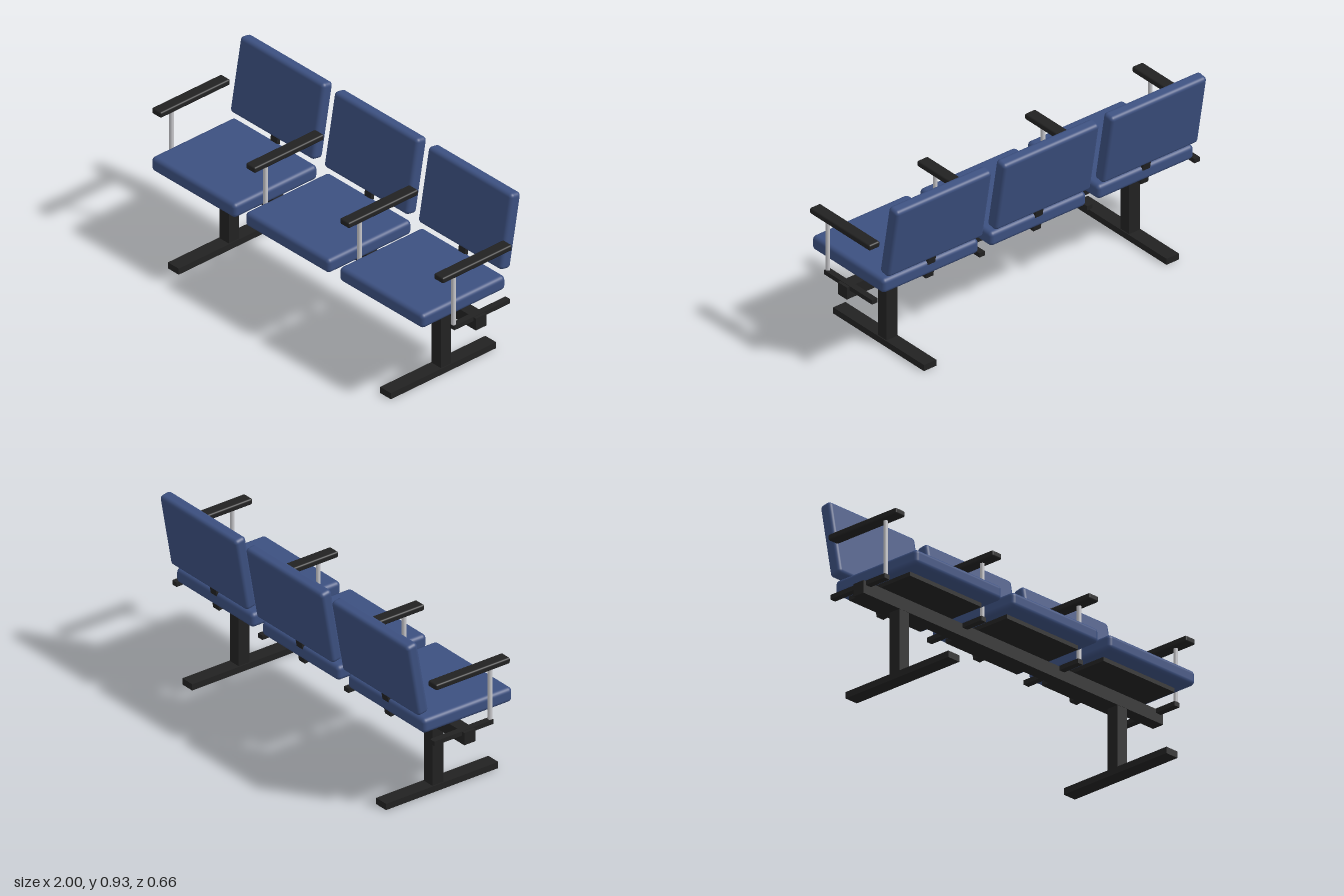
import * as THREE from 'three';
import { RoundedBoxGeometry } from 'three/addons/geometries/RoundedBoxGeometry.js';

const material = (name, color) => {
  const m = new THREE.MeshStandardMaterial({ color });
  m.name = name;
  return m;
};

export function createModel() {
  const blue = material('blue upholstery', 0x3c5080);
  const black = material('black metal', 0x222222);
  const steel = material('bright steel', 0xc8c8cc);

  const model = new THREE.Group();
  model.name = 'threeSeatBench';

  const add = (parent, name, geometry, mat, x, y, z) => {
    const mesh = new THREE.Mesh(geometry, mat);
    mesh.name = name;
    mesh.position.set(x, y, z);
    parent.add(mesh);
    return mesh;
  };
  const box = (w, h, d) => new THREE.BoxGeometry(w, h, d);
  const group = (name, x) => {
    const g = new THREE.Group();
    g.name = name;
    g.position.x = x;
    model.add(g);
    return g;
  };

  // Long beam carrying all seats
  add(model, 'beam', box(2, 0.065, 0.065), black, 0, 0.383, -0.017);

  // Two T-shaped legs
  for (const x of [-0.728, 0.728]) {
    const leg = group('leg', x);
    add(leg, 'foot', box(0.074, 0.033, 0.657), black, 0, 0.0165, 0.004);
    add(leg, 'column', box(0.064, 0.318, 0.064), black, 0, 0.191, -0.017);
  }

  // Three seats with cushions, plates and tilted backs
  const tilt = -THREE.MathUtils.degToRad(10);
  for (const x of [-0.645, 0, 0.645]) {
    const seat = group('seat', x);
    add(seat, 'seatCushion', new RoundedBoxGeometry(0.577, 0.076, 0.523, 4, 0.022), blue, 0, 0.476, 0.027);
    add(seat, 'seatPlate', box(0.475, 0.022, 0.392), black, 0, 0.428, 0.005);
    add(seat, 'backCushion', new RoundedBoxGeometry(0.577, 0.393, 0.065, 4, 0.02), blue, 0, 0.739, -0.267).rotation.x = tilt;
    add(seat, 'backBracket', box(0.045, 0.17, 0.02), black, 0, 0.5, -0.225).rotation.x = tilt;
    add(seat, 'bracketFoot', box(0.045, 0.018, 0.035), black, 0, 0.426, -0.203);
  }

  // Four armrests on steel posts
  for (const x of [-0.968, -0.323, 0.323, 0.968]) {
    const arm = group('armrest', x);
    add(arm, 'armPad', new RoundedBoxGeometry(0.064, 0.031, 0.435, 3, 0.009), black, 0, 0.706, 0.004);
    add(arm, 'armPost', new THREE.CylinderGeometry(0.011, 0.011, 0.276, 20), steel, 0, 0.556, 0.126);
    add(arm, 'armBracket', box(0.032, 0.023, 0.348), black, 0, 0.4065, -0.039);
  }

  return model;
}
